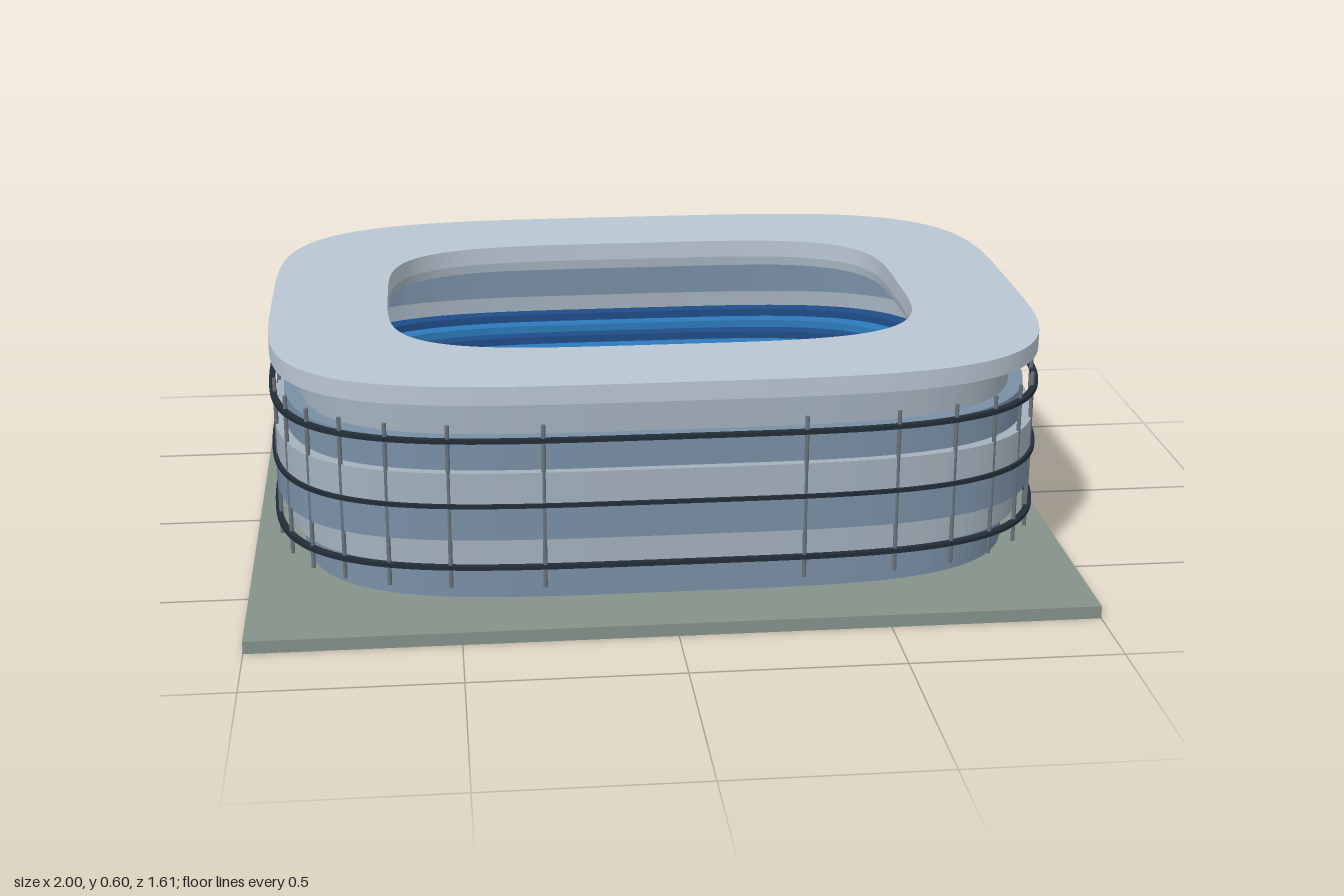
import * as THREE from 'three';

const SEGMENTS = 128;
const PITCH_Y = 0.2;
const mat = (color) => new THREE.MeshStandardMaterial({ color });

// Point on a rounded oval (fourth-power superellipse) with half-sizes a, b
function ovalPoint(a, b, t) {
  const c = Math.cos(t), s = Math.sin(t);
  return new THREE.Vector2(
    a * Math.sign(c) * Math.sqrt(Math.abs(c)),
    b * Math.sign(s) * Math.sqrt(Math.abs(s)));
}

function ovalPoints(a, b) {
  return Array.from({ length: SEGMENTS }, (_, i) => ovalPoint(a, b, (i / SEGMENTS) * Math.PI * 2));
}

// Oval slab from y0 to y1, with an opening if an inner outline is given
function ovalSlab(outer, inner, y0, y1) {
  const shape = new THREE.Shape(ovalPoints(...outer));
  if (inner) shape.holes.push(new THREE.Path(ovalPoints(...inner)));
  const geo = new THREE.ExtrudeGeometry(shape, { depth: y1 - y0, bevelEnabled: false });
  return geo.rotateX(-Math.PI / 2).translate(0, y0, 0);
}

// Flat rounded-rectangle outline used for the pitch marking
function roundedRect(target, w, d, r) {
  target.moveTo(-w + r, -d);
  target.lineTo(w - r, -d);
  target.absarc(w - r, -d + r, r, -Math.PI / 2, 0);
  target.lineTo(w, d - r);
  target.absarc(w - r, d - r, r, 0, Math.PI / 2);
  target.lineTo(-w + r, d);
  target.absarc(-w + r, d - r, r, Math.PI / 2, Math.PI);
  target.lineTo(-w, -d + r);
  target.absarc(-w + r, -d + r, r, Math.PI, Math.PI * 1.5);
  return target;
}

export function createModel() {
  const model = new THREE.Group();
  model.name = 'stadium';

  const add = (name, geometry, material, parent = model) => {
    const mesh = new THREE.Mesh(geometry, material);
    mesh.name = name;
    parent.add(mesh);
  };
  const group = (name, parent = model) => {
    const g = new THREE.Group();
    g.name = name;
    parent.add(g);
    return g;
  };

  const paleMetal = mat(0xbac6d3);
  const lightPanel = mat(0xa3b1bd);
  const darkPanel = mat(0x7a8fa6);
  const concrete = mat(0x84928a);
  const railMat = mat(0x222d38);
  const postMat = mat(0x69737c);
  const white = mat(0xe8e8e8);

  // Ground slab
  add('groundSlab', new THREE.BoxGeometry(2, 0.031, 1.61).translate(0, 0.0155, 0), concrete);

  // Raised arena floor with the striped pitch
  add('arenaFloor', ovalSlab([0.53, 0.32], null, 0.056, PITCH_Y - 0.008), concrete);
  const pitch = group('pitch');
  pitch.position.y = PITCH_Y;
  const greens = [mat(0x2a7a3a), mat(0x57a045)];
  for (let i = 0; i < 6; i++) {
    add('grassStripe', new THREE.BoxGeometry(0.15, 0.01, 0.53).translate(-0.375 + i * 0.15, -0.005, 0), greens[i % 2], pitch);
  }

  // Pitch markings
  const line = roundedRect(new THREE.Shape(), 0.43, 0.242, 0.05);
  line.holes.push(roundedRect(new THREE.Path(), 0.425, 0.237, 0.045));
  add('touchLine', new THREE.ShapeGeometry(line, 6).rotateX(-Math.PI / 2).translate(0, 0.002, 0), white, pitch);
  add('centreCircle', new THREE.RingGeometry(0.067, 0.07, 40).rotateX(-Math.PI / 2).translate(0, 0.002, 0), white, pitch);

  // Goals: two uprights and a crossbar at each end
  for (const side of [-1, 1]) {
    const goal = group('goal', pitch);
    goal.position.x = side * 0.43;
    for (const z of [-0.062, 0.062]) {
      add('goalPost', new THREE.BoxGeometry(0.01, 0.045, 0.008).translate(0, 0.0225, z), white, goal);
    }
    add('crossbar', new THREE.BoxGeometry(0.01, 0.008, 0.132).translate(0, 0.045, 0), white, goal);
  }

  // Stepped seating bowl
  const seating = group('seating');
  const blues = [mat(0x2c7abb), mat(0x1f4c88)];
  for (let i = 0; i < 8; i++) {
    const a = 0.52 + i * 0.04, b = 0.31 + i * 0.04;
    const top = PITCH_Y + 0.014 + i * 0.02;
    add('seatTier', ovalSlab([a + 0.04, b + 0.04], [a, b], top - 0.04, top), blues[i % 2], seating);
  }

  // Facade bands, stepping out towards mid height
  const facade = group('facade');
  const scales = [0.936, 0.972, 1, 1, 0.972, 0.936];
  const levels = [0.056, 0.15, 0.22, 0.305, 0.385, 0.463, 0.55];
  scales.forEach((s, i) => {
    add('facadeBand', ovalSlab([0.94 * s, 0.725 * s], [0.865, 0.665], levels[i], levels[i + 1]),
      i % 2 ? lightPanel : darkPanel, facade);
  });

  // Horizontal rails
  for (const y of [0.152, 0.305, 0.463]) {
    add('facadeRail', ovalSlab([0.949, 0.731], [0.935, 0.717], y - 0.005, y + 0.005), railMat, facade);
  }

  // Vertical posts around the facade
  const posts = 30;
  for (let i = 0; i < posts; i++) {
    const p = ovalPoint(0.938, 0.722, (i / posts) * Math.PI * 2);
    add('facadePost', new THREE.CylinderGeometry(0.005, 0.005, 0.4, 8).translate(p.x, 0.3, p.y), postMat, facade);
  }

  // Roof ring with a shallow rim under its opening
  add('roof', ovalSlab([0.945, 0.728], [0.655, 0.45], 0.55, 0.595), paleMetal);
  add('roofRim', ovalSlab([0.69, 0.485], [0.662, 0.457], 0.525, 0.55), lightPanel);

  return model;
}
